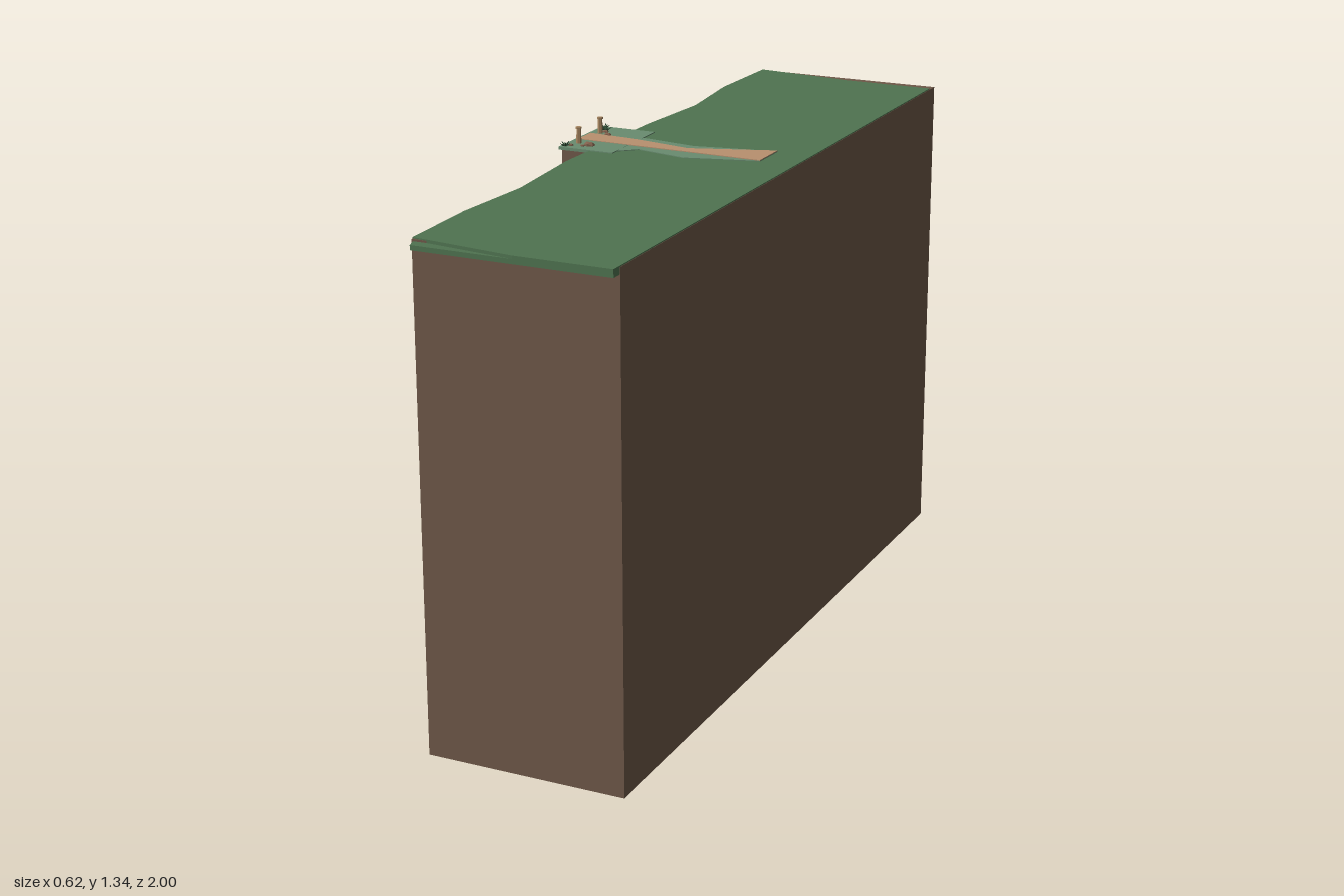
import * as THREE from 'three';

const mat = (color, side = THREE.FrontSide) =>
  new THREE.MeshStandardMaterial({ color, flatShading: true, side });
const rock = mat(0x6e5848), rockDark = mat(0x5c483a), grass = mat(0x4f7350);
const meadow = mat(0x698c70), sand = mat(0xb8906f), wood = mat(0xa88660);
const leaf = mat(0x2f4a33, THREE.DoubleSide), pebble = mat(0x80604c);

// Vertical prism from a plan outline of [x, z] points
function prism(points, y0, y1) {
  const shape = new THREE.Shape(points.map(([x, z]) => new THREE.Vector2(x, -z)));
  const geo = new THREE.ExtrudeGeometry(shape, { depth: y1 - y0, bevelEnabled: false });
  return geo.rotateX(-Math.PI / 2).translate(0, y0, 0);
}

export function createModel() {
  const root = new THREE.Group();
  const add = (name, geo, material, x = 0, y = 0, z = 0, parent = root) => {
    const mesh = new THREE.Mesh(geo, material);
    mesh.name = name;
    mesh.position.set(x, y, z);
    parent.add(mesh);
    return mesh;
  };

  // Wavy cliff edge shared by the rock and the turf
  const edge = [[-0.22, -0.74], [-0.195, -0.5], [-0.215, -0.25], [-0.22, 0],
    [-0.225, 0.2], [-0.203, 0.48], [-0.22, 0.72]];
  add('cliffBody', prism([[-0.213, -1], ...edge, [-0.213, 0.97], [0.31, 0.97], [0.31, -1]], 0, 1.287), rock);

  // Turf: a top sheet with a trimmed corner over a full-width front lip
  add('grassTop', prism([[-0.213, -0.995], ...edge, [-0.213, 0.965], [0.06, 1], [0.309, 1],
    [0.309, -0.965], [0.06, -0.965]], 1.28, 1.29), grass);
  add('grassLip', prism([[-0.213, 0.96], [-0.2, 1], [0.309, 1], [0.309, 0.96]], 1.27, 1.282), grass);

  // Promontory: a pillar that widens slightly toward its foot
  const pillar = new THREE.BoxGeometry(0.15, 1.267, 0.24);
  const p = pillar.attributes.position;
  for (let i = 0; i < p.count; i++) {
    if (p.getX(i) < 0) p.setX(i, p.getY(i) > 0 ? -0.075 : -0.082);
  }
  pillar.computeVertexNormals();
  add('pillar', pillar, rock, -0.226, 0.6535, -0.04);

  // Thin rock slabs stepping up the pillar's outer corners
  [[0.02, 0.32], [0.47, 0.6], [0.74, 0.86], [1.02, 1.13]].forEach(([a, b], i) => {
    const x = -0.3045 + 0.0055 * (a + b) / 2.6;
    for (const z of [-0.156, 0.076]) {
      add('rockSlab' + i, new THREE.BoxGeometry(0.008, b - a, 0.014), rockDark, x, (a + b) / 2, z);
    }
  });

  // Lookout lawn and the trail leading to it
  add('lookoutLawn', prism([[-0.308, -0.163], [-0.155, -0.163], [-0.155, 0.085], [-0.308, 0.085]], 1.285, 1.2925), meadow);
  add('trailVerge', prism([[-0.156, -0.095], [0, -0.07], [0.215, -0.11], [0.215, 0],
    [0.03, 0.05], [-0.11, 0.02], [-0.156, 0.06]], 1.286, 1.292), meadow);
  add('trail', prism([[-0.3, -0.078], [-0.155, -0.066], [0, -0.036], [0.215, -0.11],
    [0.215, 0], [0, -0.004], [-0.3, -0.008]], 1.287, 1.294), sand);

  // Pair of gate posts with caps
  for (const z of [0.03, -0.09]) {
    const post = new THREE.Group();
    post.name = 'gatePost';
    add('postShaft', new THREE.CylinderGeometry(0.0055, 0.007, 0.042, 6), wood, 0, 0.021, 0, post);
    add('postCap', new THREE.CylinderGeometry(0.008, 0.008, 0.005, 6), wood, 0, 0.041, 0, post);
    post.position.set(-0.278, 1.292, z);
    root.add(post);
  }

  // Scattered stones
  [[-0.242, 0.042, 0.016], [-0.25, -0.078, 0.01], [-0.27, -0.105, 0.009],
    [-0.285, 0.062, 0.008], [-0.255, 0.055, 0.006]].forEach(([x, z, r]) => {
    add('stone', new THREE.IcosahedronGeometry(r, 0).scale(1, 0.6, 0.85), pebble, x, 1.294, z);
  });

  // Leafy tufts at the outer corners
  for (const [cx, cz, n] of [[-0.292, -0.14, 8], [-0.278, -0.122, 5], [-0.295, 0.072, 6]]) {
    const tuft = new THREE.Group();
    tuft.name = 'grassTuft';
    for (let i = 0; i < n; i++) {
      const blade = add('blade', new THREE.ConeGeometry(0.0035, 0.019, 3).translate(0, 0.0095, 0), leaf, 0, 0, 0, tuft);
      blade.rotation.set(0, i * Math.PI * 2 / n, 0.75 + 0.3 * (i % 2));
    }
    tuft.position.set(cx, 1.292, cz);
    root.add(tuft);
  }
  return root;
}
